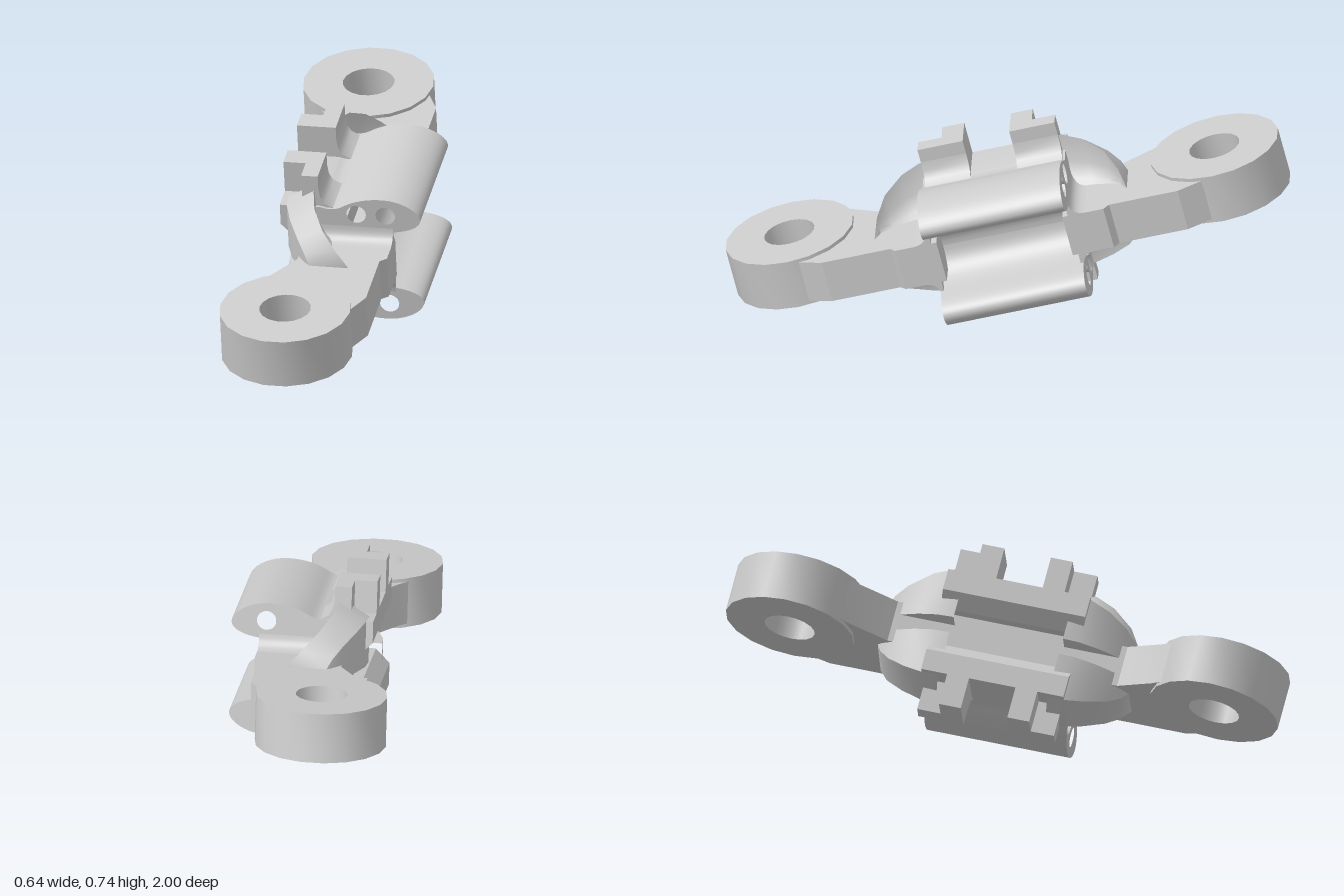
import * as THREE from 'three';
import { toCreasedNormals } from 'three/addons/utils/BufferGeometryUtils.js';

const grey = new THREE.MeshStandardMaterial({ color: 0xcccccc });
const HALF = 0.078; // half thickness of the link bar

function part(name, geometry, parent, crease = 0.6) {
  const mesh = new THREE.Mesh(toCreasedNormals(geometry, crease), grey);
  mesh.name = name;
  parent.add(mesh);
  return mesh;
}

const shapeOf = (pts) => new THREE.Shape(pts.map(([x, y]) => new THREE.Vector2(x, y)));

function addHole(shape, x, y, r) {
  shape.holes.push(new THREE.Path().absarc(x, y, r, 0, Math.PI * 2, true));
}

// Extrude centred on z
function extrude(shape, depth, curveSegments = 12) {
  const g = new THREE.ExtrudeGeometry(shape, { depth, bevelEnabled: false, curveSegments });
  return g.translate(0, 0, -depth / 2);
}

// Curved guard rib between the body's end and the bar; s is the end (+1 or -1)
function ribGeometry(s) {
  // w, left height, right height, left x, right x
  const sections = [
    [0.20, 0.20, 0.265, -0.17, -0.06],
    [0.26, 0.20, 0.26, -0.165, -0.065],
    [0.33, 0.18, 0.235, -0.14, -0.05],
    [0.40, 0.145, 0.19, -0.10, -0.01],
    [0.44, 0.11, 0.135, -0.07, 0.04],
    [0.46, 0.075, 0.08, -0.05, 0.09],
  ];
  const pos = [], index = [];
  for (const [w, vl, vr, xl, xr] of sections) {
    const base = 0.07, h = vr - base;
    const ring = [[xl, 0.03], [xl, vl], [xr, vr], [xr + 0.006, base + h * 0.45],
      [xr + 0.2 * h, base + h * 0.15], [xr + 0.4 * h, base], [xr + 0.4 * h, 0.03]];
    for (const [x, y] of ring) pos.push(x, y, w * s);
  }
  const n = 7, last = (sections.length - 1) * n;
  const tri = (a, b, c) => (s > 0 ? index.push(a, b, c) : index.push(a, c, b));
  for (let k = 0; k < last; k += n) {
    for (let j = 0; j < n; j++) {
      const a = k + j, b = k + (j + 1) % n;
      tri(a, a + n, b);
      tri(b, a + n, b + n);
    }
  }
  for (let j = 1; j < n - 1; j++) tri(last, last + j + 1, last + j);
  const g = new THREE.BufferGeometry();
  g.setAttribute('position', new THREE.Float32BufferAttribute(pos, 3));
  g.setIndex(index);
  return g;
}

// Upper half of the clamp; the lower half is the same turned over
function createHalf() {
  const half = new THREE.Group();

  // Body: side rail, groove, rounded two-bore barrel and concave flank
  const body = new THREE.Shape();
  body.moveTo(-0.1, 0);
  for (const [x, y] of [[-0.1, 0.07], [-0.14, 0.07], [-0.19, 0.12], [-0.19, 0.20], [-0.04, 0.20]]) body.lineTo(x, y);
  body.quadraticCurveTo(0, 0.185, 0.04, 0.21);
  body.quadraticCurveTo(0.10, 0.245, 0.18, 0.245);
  body.bezierCurveTo(0.25, 0.245, 0.315, 0.205, 0.315, 0.17);
  body.bezierCurveTo(0.315, 0.14, 0.27, 0.122, 0.22, 0.115);
  body.quadraticCurveTo(0.09, 0.09, 0.09, 0);
  addHole(body, 0.085, 0.18, 0.035);
  addHole(body, 0.19, 0.18, 0.035);
  part('clampBody', extrude(body, 0.52, 10), half);

  for (const s of [1, -1]) {
    // Hooked tooth with a shorter wing on its inner side
    const tooth = shapeOf([[-0.19, 0.085], [-0.05, 0.085], [-0.05, 0.25], [-0.11, 0.25], [-0.11, 0.165], [-0.19, 0.165]]
      .map(([x, w]) => [x, w * s]));
    const g = extrude(tooth, 0.16).rotateX(Math.PI / 2).translate(0, 0.24, 0);
    part('tooth', g, half);

    // Rounded foot of the tooth towards the groove
    const foot = shapeOf([[-0.06, 0.18], [0.01, 0.19], [-0.03, 0.21], [-0.045, 0.235], [-0.05, 0.27]]);
    part('toothFillet', extrude(foot, 0.165).translate(0, 0, 0.1675 * s), half, 0.9);

    part('guardRib', ribGeometry(s), half, 0.7);

    // Fillet from the body's end face down to the bar
    const fillet = new THREE.Shape();
    fillet.moveTo(0.25, 0.05);
    fillet.lineTo(0.31, 0.05);
    fillet.lineTo(0.31, HALF);
    fillet.quadraticCurveTo(0.262, 0.08, 0.26, 0.13);
    fillet.lineTo(0.25, 0.13);
    const f = extrude(fillet, 0.27, 6).rotateY(-Math.PI / 2);
    if (s < 0) f.rotateY(Math.PI);
    part('endFillet', f.translate(0.08, 0, 0), half, 0.7);
  }
  return half;
}

export function createModel() {
  const model = new THREE.Group();
  model.name = 'linkClamp';
  const link = new THREE.Group();
  link.name = 'link';
  link.position.y = 0.375;
  link.rotation.set(0.244, -0.02, 0);
  model.add(link);

  // Bar outline for one end, mirrored for the other
  const end = [[0.02, 0.23], [0.215, 0.23], [0.215, 0.38], [0.192, 0.40], [0.192, 0.65], [0.15, 0.74],
    [0, 0.67], [-0.15, 0.66], [-0.25, 0.64], [-0.18, 0.55], [-0.10, 0.42]];
  const outline = [...end, ...end.map(([x, w]) => [x, -w]).reverse()];
  part('linkBar', extrude(shapeOf(outline), 2 * HALF).rotateX(Math.PI / 2), link, 0.3);

  // Eye rings at both ends
  for (const s of [1, -1]) {
    const ring = new THREE.Shape().absarc(0, 0, 0.234, 0, Math.PI * 2, false);
    addHole(ring, 0, 0, 0.092);
    const g = extrude(ring, 0.182, 9).rotateX(Math.PI / 2);
    part(s > 0 ? 'frontEye' : 'backEye', g.translate(-0.075, 0, 0.776 * s), link, 0.7);
  }

  const upper = createHalf();
  upper.name = 'upperClamp';
  const lower = createHalf();
  lower.name = 'lowerClamp';
  lower.rotation.x = Math.PI;
  link.add(upper, lower);
  return model;
}
